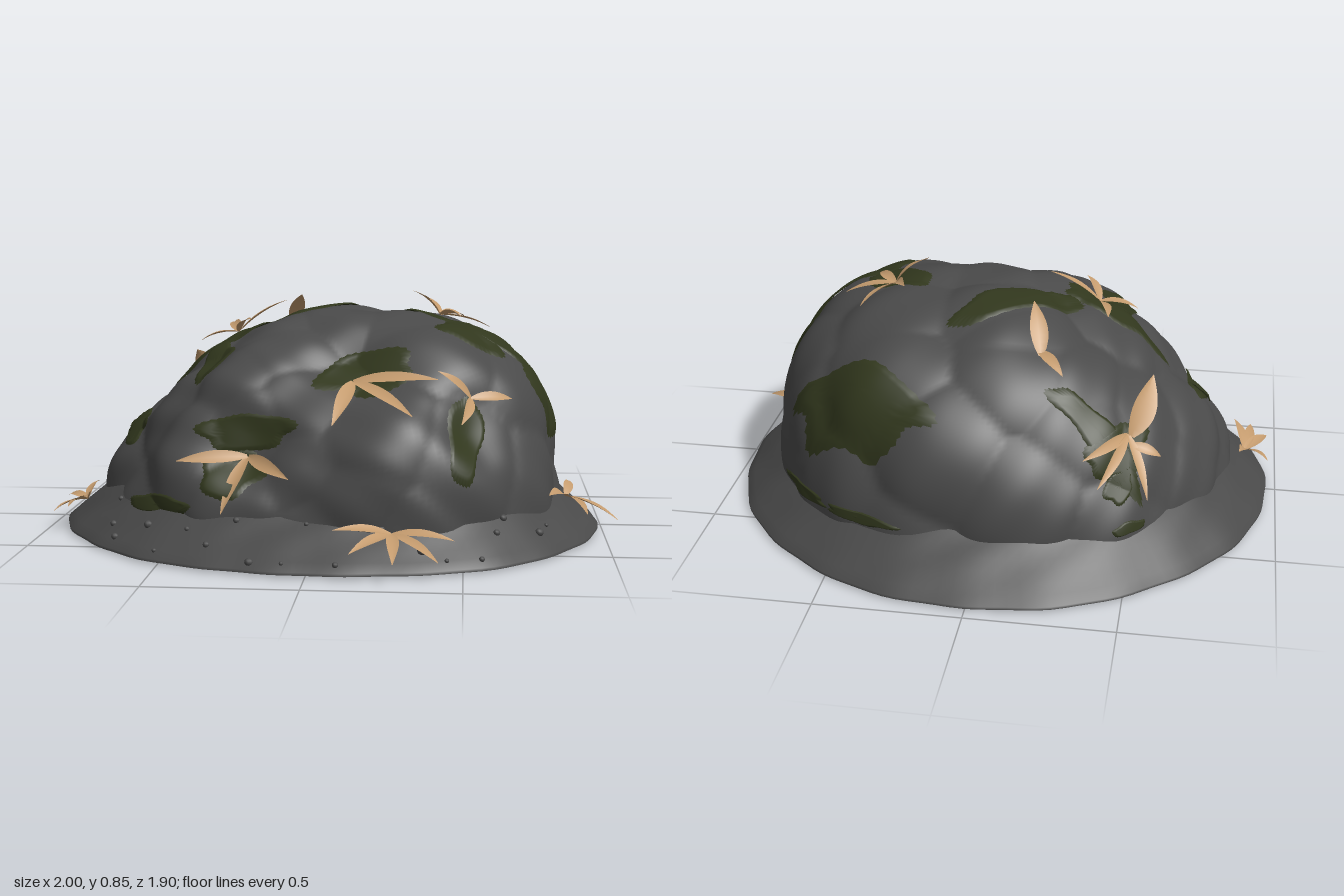
import * as THREE from 'three';
import { mergeVertices } from 'three/addons/utils/BufferGeometryUtils.js';

const TAU = Math.PI * 2;
const V = (x, y, z) => new THREE.Vector3(x, y, z);
const rad = THREE.MathUtils.degToRad;

// Radii every 45 degrees, from +x round towards +z
const DOME = [0.845, 0.82, 0.68, 0.76, 0.82, 0.82, 0.79, 0.84];
const RIM = [0.985, 0.95, 0.86, 0.9, 0.965, 0.955, 0.96, 0.98];

// Bulges and hollows: place x, y, z, spread, amount
const LUMPS = [
  [0.26, 0.28, 0.62, 0.28, 0.06], [-0.42, 0.22, 0.55, 0.28, 0.04], [-0.75, 0.3, 0, 0.3, 0.035],
  [0.12, 0.6, 0.42, 0.3, -0.09], [-0.22, 0.34, 0.53, 0.22, -0.09], [-0.3, 0.58, 0.48, 0.2, 0.03],
  [0.5, 0.4, 0.48, 0.15, -0.07],
].map(([x, y, z, s, a]) => ({ dir: V(x, y, z).normalize(), s, a }));

// Evenly spread boulder centres
const CELLS = Array.from({ length: 46 }, (_, i) => {
  const y = (i + 0.5) / 46, a = i * 2.4 + Math.sin(i * 7.1) * 0.3, r = Math.sqrt(1 - y * y);
  return V(Math.cos(a) * r, y, Math.sin(a) * r);
});

// Smooth closed interpolation of a radius table
function around(table, angle) {
  const n = table.length, f = (((angle / TAU) % 1) + 1) % 1 * n, i = Math.floor(f), t = f - i;
  const [a, b, c, d] = [-1, 0, 1, 2].map((k) => table[(i + k + n) % n]);
  return b + 0.5 * t * (c - a + t * (2 * a - 5 * b + 4 * c - d + t * (3 * (b - c) + d - a)));
}

// Distance of the rock surface from the origin along a unit direction
function rockRadius(d) {
  const angle = Math.atan2(d.z, d.x), flat = Math.hypot(d.x, d.z);
  const p = 2.4 + (0.7 * d.x) / Math.max(flat, 0.25);
  let r = Math.pow(Math.pow(flat / around(DOME, angle), p) + Math.pow(Math.max(d.y, 0) / 0.78, p), -1 / p);
  for (const l of LUMPS) r += l.a * Math.exp(-d.distanceToSquared(l.dir) / (l.s * l.s));
  let near = 1;
  for (const c of CELLS) near = Math.min(near, d.distanceToSquared(c));
  r += 0.014 - 0.4 * Math.min(near, 0.12);
  return r + 0.006 * Math.sin(d.x * 17 + d.y * 9) * Math.sin(d.z * 15 - d.y * 12);
}

// Surface point reached by moving inwards along an axis at (u, v)
const AXES = {
  top: (u, v, t) => V(u, t, v),
  front: (u, v, t) => V(u, v, t),
  back: (u, v, t) => V(u, v, -t),
  right: (u, v, t) => V(t, v, u),
};
function project(axis, u, v, lift) {
  const at = (t) => AXES[axis](u, v, t);
  const inside = (t) => { const p = at(t), l = p.length(); return l < rockRadius(p.divideScalar(l || 1)); };
  let hi = 1.1;
  while (hi > 0.03 && !inside(hi)) hi -= 0.02;
  let lo = hi + 0.02;
  for (let i = 0; i < 10; i++) { const m = (lo + hi) / 2; if (inside(m)) hi = m; else lo = m; }
  const p = at(hi);
  return p.setLength(p.length() + lift);
}

// Surface through a grid of points
function loft(rows, cols, point) {
  const pos = [], index = [];
  for (let i = 0; i <= rows; i++) for (let j = 0; j <= cols; j++) pos.push(...point(i / rows, j / cols).toArray());
  for (let i = 0; i < rows; i++) for (let j = 0; j < cols; j++) {
    const a = i * (cols + 1) + j, b = a + 1, c = a + cols + 1, d = c + 1;
    index.push(a, c, b, b, c, d);
  }
  let g = new THREE.BufferGeometry();
  g.setAttribute('position', new THREE.Float32BufferAttribute(pos, 3));
  g.setIndex(index);
  g = mergeVertices(g);
  g.computeVertexNormals();
  return g;
}

// Moss patches per axis: centre u, v, half sizes, tilt in degrees
const MOSS = {
  top: [
    [0.43, -0.56, 0.27, 0.075, 24], [-0.38, -0.54, 0.16, 0.05, 8], [-0.05, -0.17, 0.26, 0.07, -38],
    [-0.37, 0.03, 0.18, 0.065, 5], [-0.38, 0.21, 0.06, 0.14, 0], [-0.69, 0.06, 0.035, 0.1, 0],
    [0.4, 0, 0.13, 0.07, 25], [0.51, 0.17, 0.11, 0.1, -20], [0.63, 0.11, 0.1, 0.05, -10],
  ],
  front: [
    [-0.23, 0.41, 0.16, 0.06, 5], [-0.27, 0.28, 0.11, 0.07, 15], [-0.53, 0.16, 0.12, 0.03, 5],
    [0.17, 0.6, 0.16, 0.065, 10], [0.5, 0.4, 0.055, 0.13, 0], [-0.69, 0.35, 0.06, 0.03, 50],
  ],
  right: [[0.05, 0.49, 0.13, 0.15, 0], [-0.55, 0.17, 0.11, 0.02, 0]],
  back: [[-0.44, 0.4, 0.09, 0.07, 0], [-0.46, 0.3, 0.045, 0.05, 0], [-0.5, 0.17, 0.05, 0.02, 0], [0.4, 0.17, 0.13, 0.02, 0]],
};

// Wobbly blot with a ragged fringe, draped on the rock
function mossGeometry(axis, [u, v, ru, rv, tilt], seed) {
  const c = Math.cos(rad(tilt)), s = Math.sin(rad(tilt));
  return loft(9, 72, (k, t) => {
    const a = (t % 1) * TAU;
    const fringe = k === 1 && Math.round(t * 72) % 2 ? 1.05 : k;
    const wobble = fringe * (1 + 0.1 * Math.sin(3 * a + seed) + 0.08 * Math.sin(5 * a + 2 * seed));
    const x = ru * wobble * Math.cos(a), y = rv * wobble * Math.sin(a);
    return project(axis, u + x * c - y * s, v + x * s + y * c, k === 1 ? 0.004 : 0.009);
  });
}

// Leaf sprigs: root x, z, height (0 rests it on the rock), heading, fan angle, count, length, width
const SPRIGS = [
  [-0.47, -0.48, 0, -95, 70, 3, 0.25, 0.035], [-0.48, -0.5, 0, -165, 0, 1, 0.12, 0.035],
  [-0.48, -0.48, 0, 70, 0, 1, 0.25, 0.09],
  [-0.17, -0.42, 0, 71, 0, 1, 0.22, 0.06], [-0.16, -0.4, 0, -130, 0, 1, 0.15, 0.04],
  [-0.32, 0.03, 0, -55, 92, 2, 0.21, 0.04], [-0.32, 0.03, 0, 110, 120, 2, 0.14, 0.04],
  [0.4, -0.06, 0, -62, 120, 3, 0.2, 0.04], [0.4, -0.06, 0, 110, 120, 2, 0.13, 0.035],
  [-0.88, 0.13, 0.09, 95, 50, 3, 0.19, 0.04], [-0.88, 0.13, 0.09, -105, 70, 2, 0.12, 0.035],
  [0.86, 0.17, 0.14, 75, 75, 3, 0.25, 0.045], [0.86, 0.17, 0.14, -90, 0, 1, 0.12, 0.035],
  [0.12, 0.42, 0.57, 52, 86, 3, 0.28, 0.05], [-0.22, 0.54, 0.33, 115, 106, 3, 0.22, 0.045],
  [0.27, 0.74, 0.12, 85, 150, 5, 0.22, 0.04], [0.52, 0.49, 0.53, 81, 212, 3, 0.17, 0.035],
];

// Nearly straight pointed blade, folded along its midrib
function leafGeometry(root, tip, up, width) {
  const side = tip.clone().sub(root).cross(up).normalize();
  const curve = new THREE.QuadraticBezierCurve3(root, root.clone().lerp(tip, 0.5).addScaledVector(up, 0.025), tip);
  return loft(9, 2, (t, s) => {
    const half = 0.5 * width * Math.sin(Math.PI * Math.pow(0.04 + 0.96 * t, 0.8)) + 0.001;
    const k = s * 2 - 1;
    return curve.getPoint(t).addScaledVector(side, k * half).addScaledVector(up, Math.abs(k) * half * 0.3);
  });
}

// Keeps a point at least a little above the rock
function liftOut(p, gap) {
  const least = rockRadius(p.clone().normalize()) + gap;
  return p.length() < least ? p.setLength(least) : p;
}

export function createModel() {
  const stone = new THREE.MeshStandardMaterial({ name: 'dark stone', color: 0x4a4a4a });
  const moss = new THREE.MeshStandardMaterial({ name: 'moss green', color: 0x31371d, side: THREE.DoubleSide });
  const straw = new THREE.MeshStandardMaterial({ name: 'dry leaf', color: 0xc49b6e, side: THREE.DoubleSide });
  const model = new THREE.Group();
  model.name = 'mossyRock';
  const add = (name, geometry, material, parent = model) => {
    const mesh = new THREE.Mesh(geometry, material);
    mesh.name = name;
    parent.add(mesh);
    return mesh;
  };
  const group = (name) => { const g = new THREE.Group(); g.name = name; model.add(g); return g; };

  // Boulder dome
  add('rock', loft(72, 216, (s, t) => {
    const e = (s * Math.PI) / 2, a = (t % 1) * TAU, c = s === 1 ? 0 : Math.cos(e);
    const d = V(c * Math.cos(a), Math.sin(e), c * Math.sin(a));
    return d.multiplyScalar(rockRadius(d));
  }), stone);

  // Sloping skirt and flat underside
  const edge = (a) => around(RIM, a) + 0.003 * Math.sin(a * 9) + 0.003 * Math.sin(a * 23);
  const ring = (a, r, y) => V(Math.cos(a) * r, y, Math.sin(a) * r);
  const slope = (a, k, y) => ring(a, THREE.MathUtils.lerp(edge(a), around(DOME, a) - 0.06, k), y);
  add('groundSkirt', loft(8, 128, (s, t) => {
    const a = (t % 1) * TAU, k = Math.max(0, (s - 0.125) / 0.875);
    return slope(a, k, s === 0 ? 0.008 : 0.018 + 0.175 * k + 0.004 * Math.sin(a * 14 + k * 9) * k);
  }), stone);
  add('underside', loft(1, 128, (s, t) => ring((t % 1) * TAU, s * edge((t % 1) * TAU), s * 0.008)), stone);

  // Pebbles scattered on the front of the skirt
  const pebbles = group('pebbles');
  for (let i = 0; i < 20; i++) {
    const a = 0.5 + ((i * 0.618) % 1) * 2.3, k = 0.4 + 0.3 * Math.sin(i * i * 1.3);
    const pebble = add('pebble', new THREE.SphereGeometry(0.007 + 0.009 * ((i * 0.53) % 1), 8, 6), stone, pebbles);
    pebble.position.copy(slope(a, k, 0.02 + 0.175 * k));
  }

  // Moss laid over the rock
  const mossPatches = group('mossPatches');
  for (const [axis, patches] of Object.entries(MOSS)) {
    patches.forEach((patch, i) => add('mossPatch', mossGeometry(axis, patch, i * 1.7), moss, mossPatches));
  }

  // Dry leaf sprigs, fanned out over the surface they lie on
  const sprigs = group('leafSprigs');
  for (const [x, z, y, heading, fan, count, length, width] of SPRIGS) {
    const root = y ? liftOut(V(x, y, z), 0.008) : project('top', x, z, 0.012);
    const up = root.clone().normalize();
    if (root.y < 0.2) up.set(up.x * 0.4, 0.9, up.z * 0.4).normalize();
    for (let i = 0; i < count; i++) {
      const a = rad(heading + (count > 1 ? fan * (i / (count - 1) - 0.5) : 0));
      const along = V(Math.cos(a), 0, Math.sin(a)).projectOnPlane(up).normalize();
      const tip = root.clone().addScaledVector(along, length * (i % 2 ? 1 : 0.92)).addScaledVector(up, 0.03);
      add('leaf', leafGeometry(root, liftOut(tip, 0.025), up, width), straw, sprigs);
    }
  }
  return model;
}
